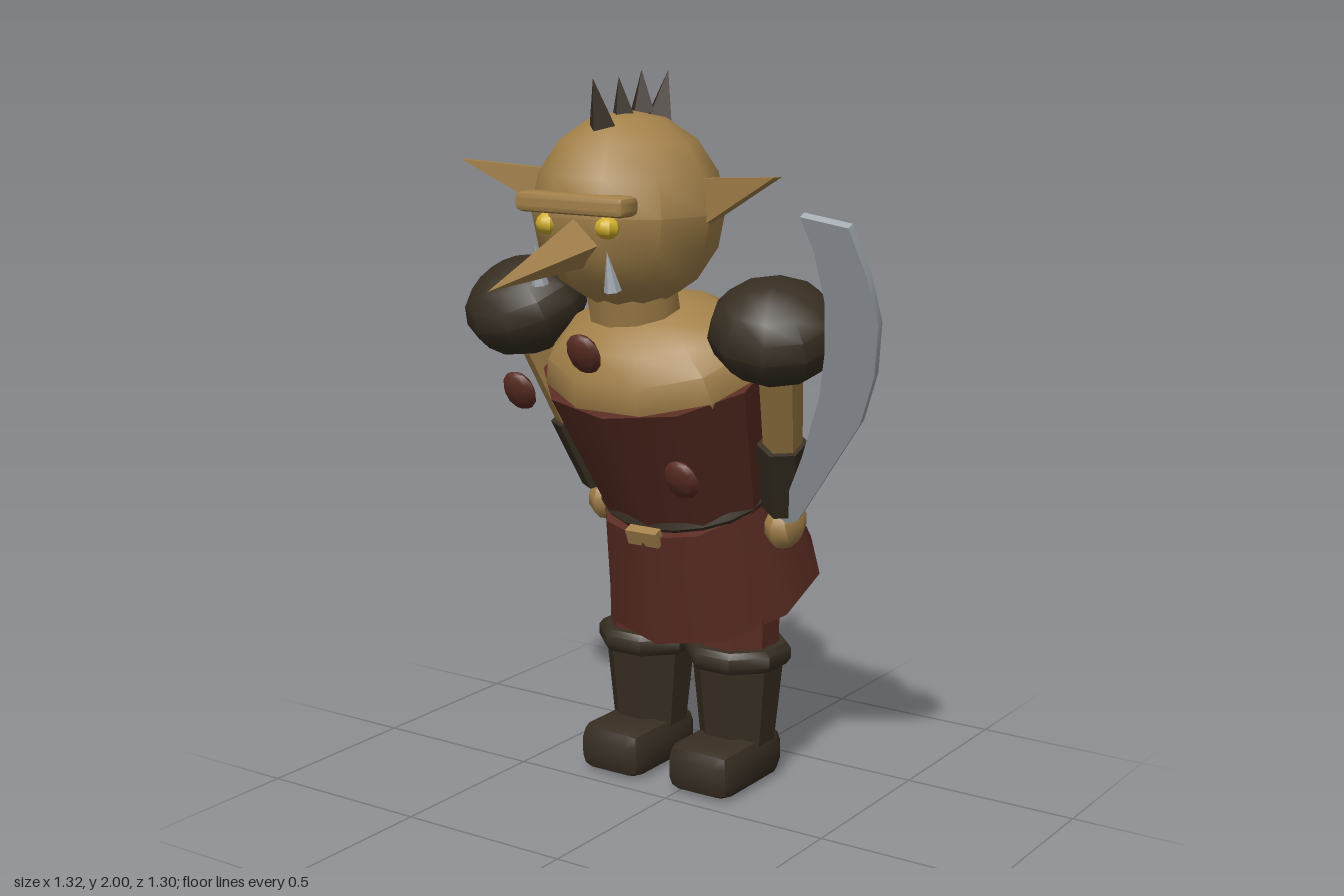
import * as THREE from 'three';
import { toCreasedNormals } from 'three/addons/utils/BufferGeometryUtils.js';
import { RoundedBoxGeometry } from 'three/addons/geometries/RoundedBoxGeometry.js';

const material = (name, color) => {
  const m = new THREE.MeshStandardMaterial({ color });
  m.name = name;
  return m;
};

export function createModel() {
  const skin = material('skin', 0xa3814a);
  const cloth = material('dark red cloth', 0x5a2c23);
  const leather = material('dark leather', 0x372e22);
  const steel = material('steel', 0xa4abb1);
  const yellow = material('eye yellow', 0xd2b02c);

  const model = new THREE.Group();
  model.name = 'warrior';
  const body = new THREE.Group();
  body.name = 'body';
  body.position.x = -0.08;
  model.add(body);

  // Helpers: creased mesh, ellipsoid, and a tapered rod between two points
  const add = (parent, name, geometry, mat, x = 0, y = 0, z = 0) => {
    const mesh = new THREE.Mesh(toCreasedNormals(geometry, 0.7), mat);
    mesh.name = name;
    mesh.position.set(x, y, z);
    parent.add(mesh);
    return mesh;
  };
  const ball = (parent, name, mat, pos, size, w = 10, h = 8) => {
    const g = new THREE.SphereGeometry(1, w, h).scale(...size);
    return add(parent, name, g, mat, ...pos);
  };
  const rod = (parent, name, mat, from, to, r0, r1, sides, turn = 0) => {
    const a = new THREE.Vector3(...from), b = new THREE.Vector3(...to);
    const g = new THREE.CylinderGeometry(r1, r0, a.distanceTo(b), sides).rotateY(turn);
    const mesh = add(parent, name, g, mat, ...a.clone().add(b).multiplyScalar(0.5).toArray());
    mesh.quaternion.setFromUnitVectors(new THREE.Vector3(0, 1, 0), b.sub(a).normalize());
    return mesh;
  };

  // Upper body leans forward from the waist
  const torso = new THREE.Group();
  torso.name = 'torso';
  torso.position.set(0, 0.835, -0.24);
  torso.rotation.x = 0.4;
  body.add(torso);

  rod(torso, 'skirt', cloth, [0, -0.32, 0], [0, 0, 0], 0.318, 0.256, 10);
  add(torso, 'vest', new THREE.CylinderGeometry(0.345, 0.265, 0.41, 10).scale(1, 1, 0.82), cloth, 0, 0.205, 0);
  ball(torso, 'chest', skin, [0, 0.41, 0], [0.335, 0.185, 0.265]);
  const belt = new THREE.TorusGeometry(0.247, 0.02, 6, 20).rotateX(Math.PI / 2).scale(1, 1, 0.84);
  add(torso, 'belt', belt, leather, 0, 0.012, 0);
  add(torso, 'buckle', new THREE.BoxGeometry(0.1, 0.045, 0.03), skin, 0, 0, 0.243);

  // Round studs in front of the vest
  for (const [x, y] of [[0, 0.61], [-0.255, 0.466], [0.21, 0.247]]) {
    ball(torso, 'stud', cloth, [x, y, 0.282], [0.053, 0.058, 0.024], 8, 6);
  }

  // Arms, hands and shoulder guards
  for (const s of [-1, 1]) {
    const side = s > 0 ? 'left' : 'right';
    const guard = ball(torso, side + 'ShoulderGuard', leather, [s * 0.405, 0.555, 0], [0.18, 0.133, 0.168]);
    guard.rotation.z = -s * 0.15;
    rod(torso, side + 'Arm', skin, [s * 0.315, 0.02, 0], [s * 0.415, 0.54, 0], 0.05, 0.06, 6);
    rod(torso, side + 'Bracer', leather, [s * 0.308, -0.015, 0], [s * 0.347, 0.2, 0], 0.062, 0.07, 6);
    ball(torso, side + 'Hand', skin, [s * 0.298, -0.075, 0], [0.052, 0.068, 0.08], 8, 6);
  }

  // Curved sword held in the left hand
  const outer = [[0.63, 1.65], [0.655, 1.53], [0.66, 1.4], [0.62, 1.26], [0.55, 1.12], [0.42, 0.96], [0.29, 0.8]];
  const inner = [[0.225, 0.775], [0.26, 0.85], [0.35, 1.0], [0.445, 1.185], [0.49, 1.315], [0.52, 1.45], [0.52, 1.58], [0.5, 1.67]];
  const blade = new THREE.Shape(
    [...outer, ...inner].map(([x, y]) => new THREE.Vector2(x + 0.08, (y - 0.823) / 0.921)));
  add(torso, 'swordBlade', new THREE.ExtrudeGeometry(blade, { depth: 0.024, bevelEnabled: false }), steel, 0, 0, 0.018);

  // Head and neck
  const neck = add(body, 'neck', new THREE.CylinderGeometry(0.125, 0.125, 0.12, 10), skin, 0, 1.43, 0.04);
  neck.rotation.x = 0.25;
  ball(body, 'head', skin, [0, 1.64, 0.053], [0.255, 0.26, 0.255]);
  rod(body, 'nose', skin, [0, 1.582, 0.24], [0, 1.494, 0.645], 0.074, 0, 4);
  add(body, 'brow', new RoundedBoxGeometry(0.34, 0.052, 0.08, 1, 0.016), skin, 0, 1.676, 0.285);
  for (const s of [-1, 1]) {
    const side = s > 0 ? 'left' : 'right';
    ball(body, side + 'Eye', yellow, [s * 0.093, 1.62, 0.278], [0.033, 0.03, 0.033], 8, 6);
    rod(body, side + 'Tusk', steel, [s * 0.115, 1.462, 0.287], [s * 0.112, 1.565, 0.308], 0.023, 0, 6);

    // Thin pointed ear swept forward
    const shape = new THREE.Shape([[-0.03, -0.075], [0.285, 0.09], [-0.03, 0.066]]
      .map(([x, y]) => new THREE.Vector2(s * x, y)));
    const earGeometry = new THREE.ExtrudeGeometry(shape, { depth: 0.026, bevelEnabled: false });
    const ear = add(body, side + 'Ear', earGeometry, skin, s * 0.228, 1.665, 0.03);
    ear.rotation.y = -s * 0.29;
  }

  // Row of spikes over the crown: base z, base y, tip z, tip y, radius
  for (const [z, y, tz, ty, r] of [
    [0.168, 1.865, 0.208, 1.985, 0.04], [0.075, 1.89, 0.095, 1.985, 0.033],
    [-0.012, 1.89, -0.008, 2, 0.038], [-0.085, 1.865, -0.132, 1.995, 0.042],
  ]) rod(body, 'headSpike', leather, [0, y, z], [0, ty, tz], r, 0, 4);

  // Legs and boots
  const cuff = [[0.115, 0.345], [0.14, 0.345], [0.152, 0.362], [0.152, 0.392], [0.14, 0.408], [0.1, 0.408]]
    .map(([x, y]) => new THREE.Vector2(x, y));
  for (const s of [-1, 1]) {
    const side = s > 0 ? 'left' : 'right';
    const x = s * 0.15, z = -0.262, turn = Math.PI / 8;
    rod(body, side + 'Thigh', cloth, [x, 0.36, z], [x, 0.66, z], 0.116, 0.122, 8, turn);
    rod(body, side + 'BootShaft', leather, [x, 0.07, z], [x, 0.37, z], 0.102, 0.132, 8, turn);
    add(body, side + 'BootCuff', new THREE.LatheGeometry(cuff, 8).rotateY(turn), leather, x, 0, z);
    add(body, side + 'BootFoot', new RoundedBoxGeometry(0.212, 0.145, 0.32, 1, 0.045), leather, x, 0.0725, -0.2);
  }
  return model;
}
